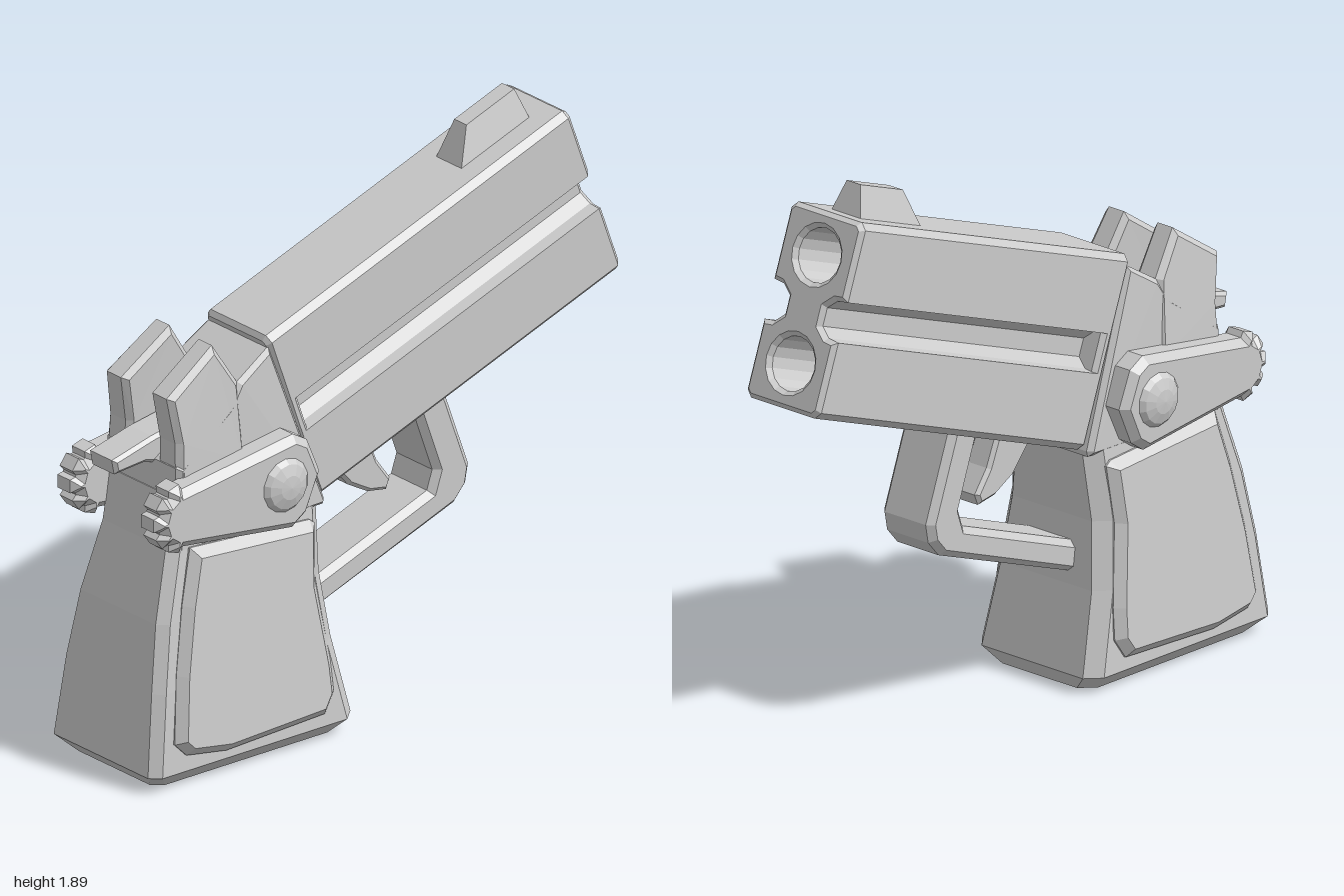
import * as THREE from 'three';

const material = new THREE.MeshStandardMaterial({ color: 0xcccccc, flatShading: true });

function add(parent, name, geometry) {
  const mesh = new THREE.Mesh(geometry, material);
  mesh.name = name;
  parent.add(mesh);
  return mesh;
}

// Outline extruded from z0 to z1, with chamfered edges kept inside the outline
function plate(points, z0, z1, bevel = 0.02, holes = []) {
  const shape = new THREE.Shape(points.map(([x, y]) => new THREE.Vector2(x, y)));
  for (const [x, y, r] of holes) {
    shape.holes.push(new THREE.Path().absarc(x, y, r, 0, Math.PI * 2, true));
  }
  const geometry = new THREE.ExtrudeGeometry(shape, {
    depth: z1 - z0 - 2 * bevel, bevelEnabled: true, bevelSegments: 1,
    bevelSize: bevel, bevelThickness: bevel, bevelOffset: -bevel, curveSegments: 8,
  });
  return geometry.translate(0, 0, z0 + bevel);
}

// Rings of equal point count joined by quads, closed with fans at both ends
function loft(rings) {
  const n = rings[0].length;
  const index = [];
  for (let r = 0; r < rings.length - 1; r++) {
    for (let i = 0; i < n; i++) {
      const a = r * n + i, b = r * n + (i + 1) % n;
      index.push(a, b, a + n, b, b + n, a + n);
    }
  }
  const last = (rings.length - 1) * n;
  for (let i = 1; i < n - 1; i++) {
    index.push(0, i + 1, i, last, last + i, last + i + 1);
  }
  const geometry = new THREE.BufferGeometry();
  geometry.setAttribute('position', new THREE.Float32BufferAttribute(rings.flat(2), 3));
  geometry.setIndex(index);
  const flat = geometry.toNonIndexed();
  flat.computeVertexNormals();
  return flat;
}

// Change z of every vertex by a rule of y and z
function warpZ(geometry, rule) {
  const p = geometry.attributes.position;
  for (let i = 0; i < p.count; i++) p.setZ(i, rule(p.getY(i), p.getZ(i)));
  geometry.computeVertexNormals();
  return geometry;
}

function addPair(parent, name, geometry) {
  add(parent, name + 'Left', geometry);
  add(parent, name + 'Right', geometry).scale.z = -1;
}

function makeBarrel() {
  const barrel = new THREE.Group();
  barrel.name = 'barrelAssembly';
  const L = 1.31, H = 0.635, W = 0.158, c = 0.022;
  const mirrored = (side) => [...side, ...side.map(([x, y]) => [-x, y]).reverse()];
  const grooved = mirrored([[W - c, 0], [W, c], [W, 0.25], [0.115, 0.255], [0.08, 0.285],
    [0.08, 0.345], [0.115, 0.375], [W, 0.38], [W, H - c], [W - c, H]]);
  const plain = mirrored([[W - c, 0], [W, c], [W, H - c], [W - c, H]]);
  const bores = [[0, 0.144, 0.088], [0, 0.495, 0.088]];
  const along = (g) => g.rotateY(Math.PI / 2);
  add(barrel, 'barrelRear', along(plate(grooved, 0, 0.83, 0.015)));
  add(barrel, 'barrelFront', along(plate(grooved, 0.8, L, 0.015, bores)));
  add(barrel, 'barrelEndPlate', along(plate(plain, 0, 0.045, 0.015)));

  // Front sight, a tapered block
  const ring = (x0, x1, y, w) => [[x0, y, w], [x1, y, w], [x1, y, -w], [x0, y, -w]];
  add(barrel, 'frontSight', loft([
    ring(0.917, 1.218, H - 0.01, 0.065), ring(1.012, 1.218, 0.737, 0.03)]));

  barrel.position.set(-0.24, 0.785, 0);
  barrel.rotation.z = THREE.MathUtils.degToRad(20);
  return barrel;
}

function makeGrip() {
  const grip = new THREE.Group();
  grip.name = 'grip';
  // Each level: y, back x, front x, half width
  const levels = [
    [0.005, -0.945, -0.2, 0.205], [0.06, -1, -0.166, 0.262], [0.33, -0.967, -0.23, 0.24],
    [0.55, -0.93, -0.257, 0.215], [0.78, -0.865, -0.245, 0.185], [0.95, -0.84, -0.3, 0.18]];
  add(grip, 'gripBody', loft(levels.map(([y, b, f, w]) => [
    [b, y, w - 0.03], [b + 0.035, y, w], [f - 0.05, y, w], [f, y, w - 0.045],
    [f, y, 0.045 - w], [f - 0.05, y, -w], [b + 0.035, y, -w], [b, y, 0.03 - w]])));

  // Side panels lean outward toward the bottom
  const outline = [[-0.797, 0.778], [-0.845, 0.6], [-0.888, 0.38], [-0.914, 0.16],
    [-0.87, 0.115], [-0.71, 0.09], [-0.31, 0.105], [-0.268, 0.17], [-0.273, 0.275],
    [-0.31, 0.54], [-0.295, 0.73], [-0.315, 0.745]].reverse();
  const panel = warpZ(plate(outline, 0.08, 0.225, 0.03), (y, z) => z + (0.75 - y) * 0.11);
  addPair(grip, 'gripPanel', panel);
  return grip;
}

function makeFrame() {
  const frame = new THREE.Group();
  frame.name = 'frame';
  // The frame narrows toward the top
  const taper = (y, z) => z * (1 + (1.4 - Math.max(y, 1.05)) * 0.6);
  const body = [[-0.84, 0.76], [-0.24, 0.77], [-0.235, 0.79], [-0.44, 1.352],
    [-0.572, 1.27], [-0.62, 1.2], [-0.835, 1.05]];
  add(frame, 'frameBody', warpZ(plate(body, -0.154, 0.154, 0.015), taper));
  const prong = [[-0.834, 1.0], [-0.56, 1.0], [-0.572, 1.27], [-0.663, 1.414],
    [-0.855, 1.285], [-0.83, 1.13]];
  addPair(frame, 'rearSightProng', warpZ(plate(prong, 0.055, 0.155, 0.018), taper));

  const hammer = [[-0.99, 1.035], [-0.87, 1.045], [-0.7, 1.0], [-0.7, 1.15],
    [-0.84, 1.126], [-1, 1.085]];
  add(frame, 'hammer', plate(hammer, -0.065, 0.065, 0.012));
  return frame;
}

function makeLevers() {
  const levers = new THREE.Group();
  levers.name = 'sideLevers';
  // Toothed rear end followed by the faceted pivot end
  const outline = [[-0.42, 0.762], [-0.365, 0.8], [-0.31, 0.925], [-0.36, 1.045], [-0.417, 1.078]];
  const teeth = 5;
  for (let i = 0; i < teeth; i++) {
    for (const [t, r] of [[0.06, 0.098], [0.2, 0.118], [0.8, 0.118], [0.94, 0.098]]) {
      const a = Math.PI * (0.5 + (i + t) / teeth);
      outline.push([-0.865 + r * Math.cos(a), 0.915 + r * Math.sin(a)]);
    }
  }
  addPair(levers, 'lever', plate(outline, 0.15, 0.262, 0.025));

  // Domed pivot button
  const profile = [[0.092, 0], [0.092, 0.06], [0.075, 0.078], [0.04, 0.09], [0, 0.094]];
  const button = new THREE.LatheGeometry(profile.map(([r, h]) => new THREE.Vector2(r, h)), 14);
  button.rotateX(Math.PI / 2).translate(-0.465, 0.924, 0.2);
  addPair(levers, 'pivotButton', button);
  return levers;
}

export function createModel() {
  const model = new THREE.Group();
  model.name = 'toyPistol';
  model.add(makeBarrel(), makeGrip(), makeFrame(), makeLevers());

  // Guard loop running from the grip up to the barrel
  const guard = [[-0.32, 0.34], [0.358, 0.586], [0.405, 0.64], [0.417, 0.703], [0.32, 0.97],
    [0.3, 1.03], [0.165, 1.03], [0.198, 0.928], [0.272, 0.72], [0.25, 0.655], [-0.32, 0.445]];
  add(model, 'triggerGuard', plate(guard, -0.11, 0.11, 0.022));

  const trigger = [[-0.13, 0.87], [-0.107, 0.826], [-0.03, 0.735], [0.05, 0.69], [0.125, 0.677],
    [0.14, 0.714], [0.085, 0.79], [0.05, 0.875], [0.05, 0.95], [-0.1, 0.95]];
  add(model, 'trigger', plate(trigger, -0.05, 0.05, 0.012));
  return model;
}
